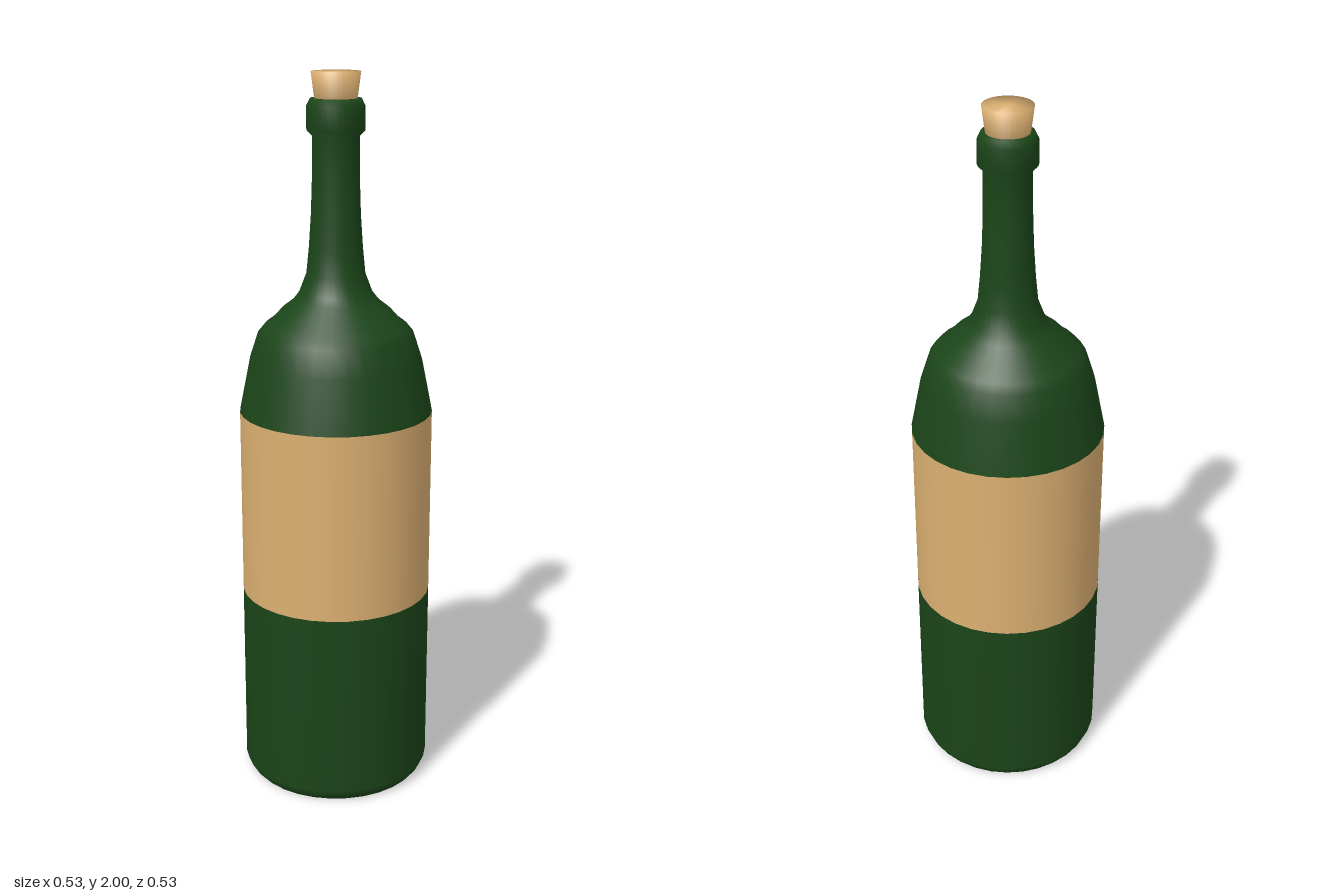
import * as THREE from 'three';

const SIDES = 32;

export function createModel() {
  const bottle = new THREE.Group();
  bottle.name = 'bottle';

  const glass = new THREE.MeshStandardMaterial({ color: 0x1b4519 });
  const tan = new THREE.MeshStandardMaterial({ color: 0xdcb072 });

  // Turns a [radius, height] profile, listed from bottom to top
  const turn = (name, profile, material) => {
    const points = profile.map(([r, y]) => new THREE.Vector2(r, y));
    const mesh = new THREE.Mesh(new THREE.LatheGeometry(points, SIDES), material);
    mesh.name = name;
    bottle.add(mesh);
  };

  // Closed base with a small bevel, up to the label
  turn('lowerBody', [[0, 0], [0.247, 0], [0.257, 0.012], [0.267, 0.035], [0.267, 0.56]], glass);

  // Paper band wrapped flush around the body
  turn('label', [[0.267, 0.56], [0.267, 1.087]], tan);

  // Shoulder, neck and the raised lip at the mouth
  turn('shoulderAndNeck', [
    [0.267, 1.087], [0.237, 1.235], [0.214, 1.305], [0.196, 1.327], [0.172, 1.345],
    [0.15, 1.37], [0.118, 1.395], [0.1, 1.418], [0.08, 1.47], [0.073, 1.54],
    [0.067, 1.63], [0.064, 1.72], [0.063, 1.835],
    [0.078, 1.85], [0.078, 1.912], [0.068, 1.932], [0.05, 1.932],
  ], glass);

  // Tapered stopper, wider at the top
  turn('cork', [[0, 1.9], [0.053, 1.9], [0.066, 2], [0, 2]], tan);

  return bottle;
}
